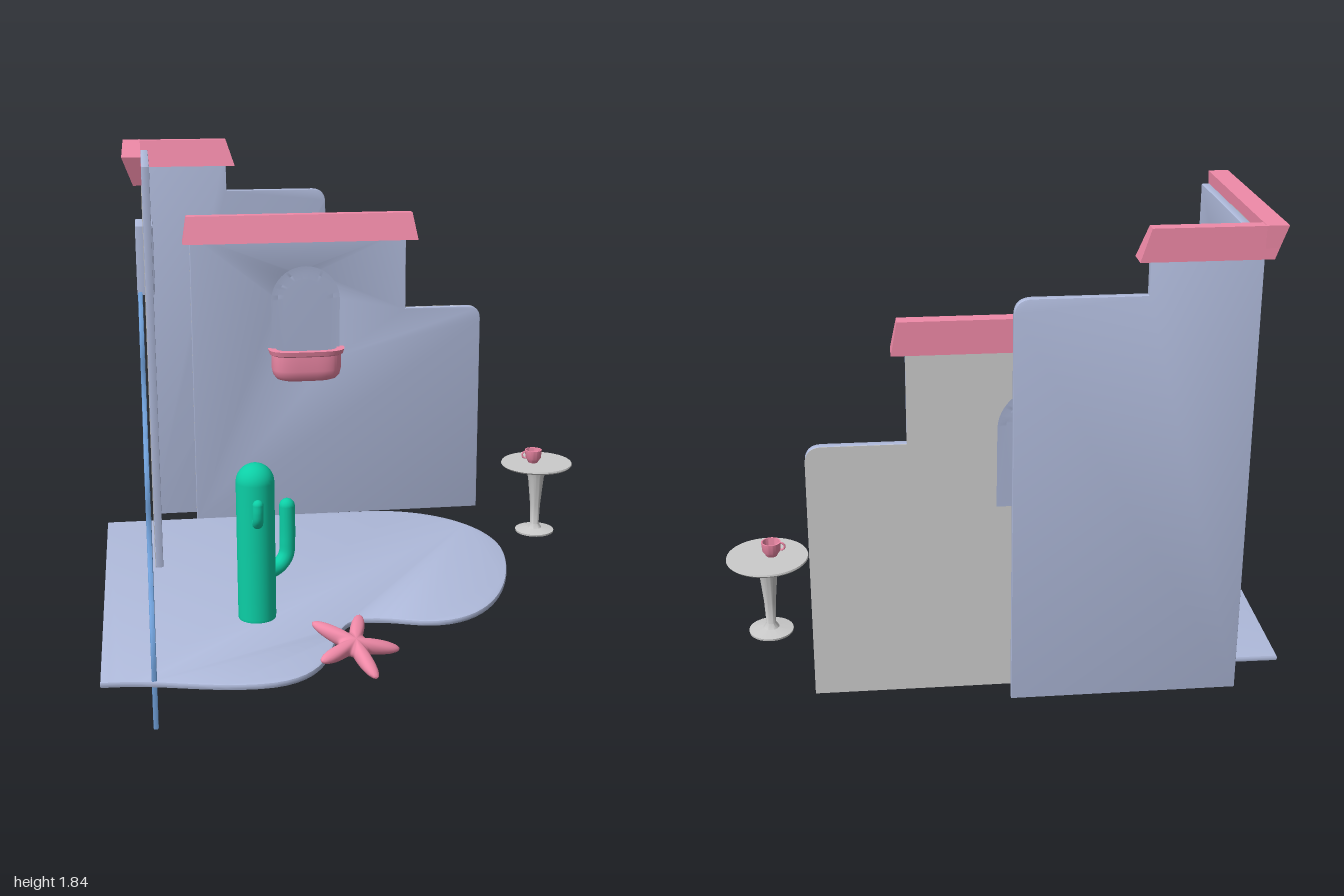
import * as THREE from 'three';
import { toCreasedNormals } from 'three/addons/utils/BufferGeometryUtils.js';
import { ParametricGeometry } from 'three/addons/geometries/ParametricGeometry.js';

const mat = (color) => new THREE.MeshStandardMaterial({ color, side: THREE.DoubleSide });
const plaster = mat(0xb0bbdc), grey = mat(0xcccccc), pink = mat(0xf08aa8);
const blue = mat(0x6f9fd8), green = mat(0x0ccfa6);

const V = (x, y, z) => new THREE.Vector3(x, y, z);

function mesh(name, geo, material, x = 0, y = 0, z = 0) {
  const m = new THREE.Mesh(geo, material);
  m.name = name;
  m.position.set(x, y, z);
  return m;
}

const poly = (pts) => new THREE.Shape(pts.map(([x, y]) => new THREE.Vector2(x, y)));
const rect = (x0, y0, x1, y1) => poly([[x0, y0], [x1, y0], [x1, y1], [x0, y1]]);

function arch(x, halfWidth, y0, top) {
  const s = new THREE.Shape();
  s.moveTo(x - halfWidth, y0);
  s.lineTo(x + halfWidth, y0);
  s.absarc(x, top - halfWidth, halfWidth, 0, Math.PI, false);
  s.closePath();
  return s;
}

// Extruded sheet of a given total depth, with softened edges
function slab(shape, depth, bevel = 0, hole = null) {
  if (hole) shape.holes.push(hole);
  const geo = new THREE.ExtrudeGeometry(shape, {
    depth: depth - 2 * bevel, curveSegments: 20, bevelEnabled: bevel > 0,
    bevelThickness: bevel, bevelSize: bevel, bevelOffset: -bevel, bevelSegments: 2,
  }).translate(0, 0, bevel);
  return toCreasedNormals(geo, 0.6);
}

// Outline with a tall block on the left and a lower, rounded step on the right
function steppedOutline(x0, xStep, x1, yTop, yStep, r = 0.06) {
  const s = new THREE.Shape();
  s.moveTo(x0, 0.16);
  s.lineTo(x1, 0.16);
  s.lineTo(x1, yStep - r);
  s.quadraticCurveTo(x1, yStep, x1 - r, yStep);
  s.lineTo(xStep, yStep);
  s.lineTo(xStep, yTop);
  s.lineTo(x0, yTop);
  s.closePath();
  return s;
}

// Roof cap: a box whose bottom and top are rectangles [x0, x1, z0, z1]
function cap(bottom, top, y0, y1) {
  const geo = new THREE.BoxGeometry(1, 1, 1);
  const p = geo.attributes.position;
  for (let i = 0; i < p.count; i++) {
    const r = p.getY(i) > 0 ? top : bottom;
    p.setXYZ(i, p.getX(i) < 0 ? r[0] : r[1], p.getY(i) > 0 ? y1 : y0, p.getZ(i) < 0 ? r[2] : r[3]);
  }
  geo.computeVertexNormals();
  return geo;
}

function floor() {
  const s = new THREE.Shape();
  s.moveTo(-1, 0.78);
  s.lineTo(0.15, 0.765);
  s.bezierCurveTo(0.46, 0.75, 0.65, 0.5, 0.65, 0.23);
  s.bezierCurveTo(0.65, 0.03, 0.52, -0.49, 0.24, -0.49);
  s.bezierCurveTo(0.14, -0.49, 0.08, -0.43, -0.03, -0.43);
  s.bezierCurveTo(-0.22, -0.43, -0.12, -0.92, -0.46, -0.92);
  s.bezierCurveTo(-0.66, -0.92, -0.8, -0.83, -1, -0.835);
  s.closePath();
  return mesh('floor', slab(s, 0.022, 0.006).rotateX(-Math.PI / 2), plaster, 0, 0.157, 0);
}

function walls(g) {
  // Back wall
  g.add(mesh('backWall', slab(steppedOutline(-0.8, -0.435, -0.005, 1.8, 1.62), 0.03, 0.004), plaster, 0, 0, -0.94));
  // Front wall with arched window opening
  const front = () => steppedOutline(-0.605, 0.337, 0.675, 1.45, 1.1);
  g.add(mesh('windowWall', slab(front(), 0.03, 0.004, arch(-0.11, 0.12, 0.89, 1.275)), plaster, 0, 0, -0.84));
  g.add(mesh('windowWallBacking', slab(front(), 0.002, 0, arch(-0.11, 0.12, 0.89, 1.275)), grey, 0, 0, -0.843));
  // Side wall with square window opening
  const side = () => rect(-0.915, 0.16, -0.2, 1.8);
  const sideHole = () => rect(-0.565, 1.29, -0.385, 1.535);
  const turn = (geo) => geo.rotateY(-Math.PI / 2);
  g.add(mesh('sideWall', turn(slab(side(), 0.03, 0.003, sideHole())), plaster, -0.767));
  g.add(mesh('sideWallBacking', turn(slab(side(), 0.002, 0, sideHole())), grey, -0.798));
  // Square window
  g.add(mesh('sideWindowFrame', turn(slab(rect(-0.58, 1.275, -0.37, 1.55), 0.07, 0.004,
    rect(-0.555, 1.3, -0.4, 1.52))), plaster, -0.76));
  g.add(mesh('sideWindowPane', turn(slab(rect(-0.56, 1.295, -0.395, 1.525), 0.006)), grey, -0.79));

  // Wavy garden wall: three rounded steps
  const w = new THREE.Shape();
  w.moveTo(-0.44, 0);
  w.lineTo(0.85, 0);
  w.lineTo(0.85, 0.22);
  for (let i = 0; i < 3; i++) {
    const z = 0.85 - i * 0.425, y = 0.22 + i * 0.43;
    w.bezierCurveTo(z, y + 0.13, z - 0.1, y + 0.212, z - 0.21, y + 0.212);
    if (i < 2) w.bezierCurveTo(z - 0.33, y + 0.212, z - 0.425, y + 0.3, z - 0.425, y + 0.43);
  }
  w.lineTo(-0.44, 1.285);
  w.closePath();
  g.add(mesh('wavyWall', turn(slab(w, 0.018, 0.004)), blue, -0.809));
}

function roofs(g) {
  g.add(mesh('sideRoof', cap([-0.83, -0.798, -0.945, -0.2], [-0.87, -0.798, -0.948, -0.165], 1.73, 1.84), pink));
  g.add(mesh('backRoof', cap([-0.83, -0.4, -0.946, -0.865], [-0.87, -0.435, -0.946, -0.9], 1.73, 1.839), pink));
  g.add(mesh('windowRoof', cap([-0.635, 0.383, -0.846, -0.76], [-0.617, 0.362, -0.846, -0.795], 1.41, 1.525), pink));
}

function archWindow(g) {
  // Frame gets deeper towards its top
  const geo = slab(arch(-0.11, 0.133, 0.88, 1.29), 1, 0.04, arch(-0.11, 0.11, 0.905, 1.265)).translate(0, 0, -0.5);
  const p = geo.attributes.position;
  for (let i = 0; i < p.count; i++) {
    const k = (p.getY(i) - 0.88) / 0.41;
    p.setZ(i, -0.828 + p.getZ(i) * (0.06 + 0.055 * k));
  }
  g.add(mesh('archFrame', toCreasedNormals(geo, 0.6), plaster));
  g.add(mesh('archPane', slab(arch(-0.11, 0.115, 0.9, 1.27), 0.006), grey, 0, 0, -0.83));

  // Planter: D-shaped cross-sections [y, half width, depth], outside then inside
  const rings = [[0.8, 0, 0], [0.8, 0.11, 0.07], [0.808, 0.132, 0.088], [0.825, 0.146, 0.1], [0.85, 0.152, 0.105],
    [0.915, 0.153, 0.105], [0.92, 0.162, 0.113], [0.94, 0.168, 0.118], [0.94, 0.135, 0.085], [0.85, 0.13, 0.08], [0.83, 0, 0]];
  const planter = new ParametricGeometry((u, v, out) => {
    const [y, w, d] = rings[Math.round(v * (rings.length - 1))];
    const c = Math.cos(u * Math.PI), s = Math.max(0, Math.sin(u * Math.PI));
    out.set(-0.108 + w * Math.sign(c) * Math.abs(c) ** 0.55, y, -0.815 + d * s ** 0.55);
  }, 36, rings.length - 1);
  g.add(mesh('planter', toCreasedNormals(planter, 0.7), pink));
}

// Bent arm with a rounded tip
function arm(name, pts, r) {
  const grp = new THREE.Group();
  grp.name = name;
  const curve = new THREE.CatmullRomCurve3(pts, false, 'centripetal');
  grp.add(mesh(name + 'Stem', new THREE.TubeGeometry(curve, 24, r, 14), green));
  const tip = pts[pts.length - 1];
  grp.add(mesh(name + 'Tip', new THREE.SphereGeometry(r, 14, 10), green, tip.x, tip.y, tip.z));
  return grp;
}

function cactus() {
  const c = new THREE.Group();
  c.name = 'cactus';
  c.add(mesh('cactusTrunk', new THREE.CapsuleGeometry(0.071, 0.52, 10, 28), green, 0, 0.449, 0));
  c.add(mesh('cactusBase', new THREE.CylinderGeometry(0.071, 0.066, 0.2, 28), green, 0, 0.248, 0));
  c.add(arm('largeArm', [V(0.04, 0.34, -0.03), V(0.09, 0.355, -0.06), V(0.118, 0.39, -0.076), V(0.124, 0.45, -0.08), V(0.124, 0.582, -0.08)], 0.03));
  c.add(arm('smallArm', [V(0, 0.575, 0.05), V(0, 0.58, 0.095), V(0, 0.602, 0.12), V(0, 0.63, 0.127), V(0, 0.66, 0.127)], 0.02));
  c.position.set(-0.428, 0, 0.35);
  return c;
}

function starfish() {
  // Sphere whose radius follows five rounded arms
  const geo = new THREE.SphereGeometry(1, 100, 20);
  const p = geo.attributes.position;
  for (let i = 0; i < p.count; i++) {
    const x = p.getX(i), z = p.getZ(i);
    const k = (Math.cos(5 * Math.atan2(z, x)) + 1) / 2;
    const r = 0.056 + 0.114 * k ** 2.2;
    p.setXYZ(i, x * r, p.getY(i) * 0.03, z * r);
  }
  geo.computeVertexNormals();
  const m = mesh('starfish', geo.rotateY(THREE.MathUtils.degToRad(5)), pink, -0.125, 0.238, 0.785);
  m.quaternion.setFromUnitVectors(V(0, 1, 0), V(0.25, 1, 0.32).normalize());
  return m;
}

const lathe = (pts) => toCreasedNormals(new THREE.LatheGeometry(pts.map(([x, y]) => new THREE.Vector2(x, y)), 40), 0.7);

function table() {
  const t = new THREE.Group();
  t.name = 'table';
  t.add(mesh('tableBody', lathe([[0, 0.175], [0.082, 0.175], [0.083, 0.183], [0.03, 0.192], [0.018, 0.21], [0.022, 0.3],
    [0.034, 0.42], [0.045, 0.455], [0.08, 0.465], [0.145, 0.475], [0.152, 0.482], [0.15, 0.488], [0, 0.488]]), grey));
  t.add(mesh('cup', lathe([[0, 0.489], [0.02, 0.489], [0.024, 0.497], [0.033, 0.51], [0.036, 0.545],
    [0.031, 0.545], [0.028, 0.513], [0, 0.5]]), pink, -0.016, 0, 0.003));
  t.add(mesh('cupHandle', new THREE.TorusGeometry(0.014, 0.004, 8, 20), pink, -0.051, 0.524, 0.003));
  t.position.set(0.845, 0, -0.415);
  return t;
}

export function createModel() {
  const g = new THREE.Group();
  g.name = 'courtyard';
  g.add(floor());
  walls(g);
  roofs(g);
  archWindow(g);
  g.add(cactus(), starfish(), table());
  return g;
}
